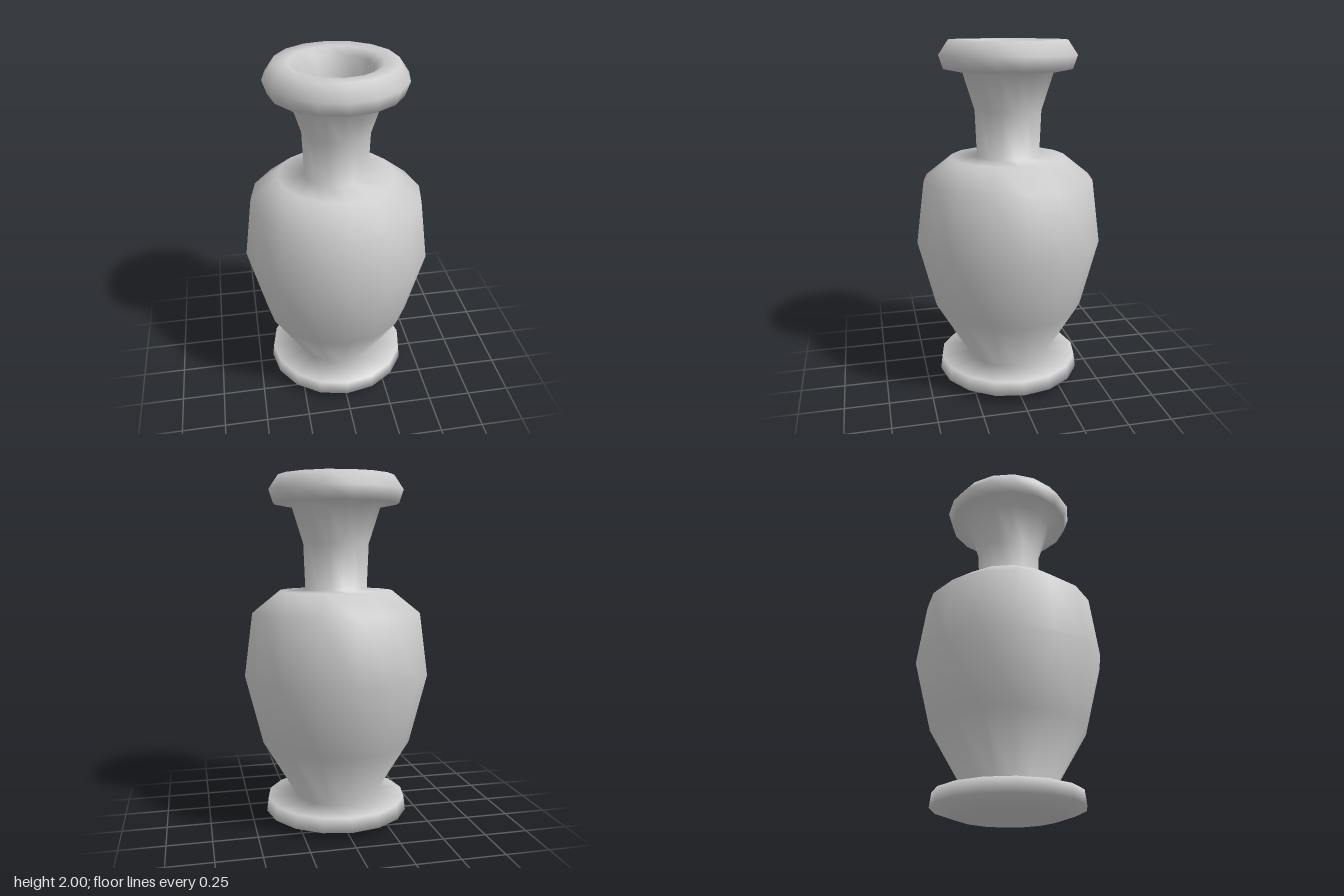
import * as THREE from 'three';

export function createModel() {
  const model = new THREE.Group();
  model.name = 'vase';

  const stone = new THREE.MeshStandardMaterial({ color: 0xcccccc });
  stone.name = 'light grey stone';

  // One continuous wall, turned in 16 smooth-shaded sides: [radius, height]
  const foot = [[0, 0], [0.29, 0.005], [0.42, 0.05], [0.41, 0.13], [0.24, 0.14]];
  const belly = [[0.435, 0.47], [0.535, 0.87], [0.487, 1.23], [0.33, 1.355]];
  const neck = [[0.18, 1.36], [0.19, 1.62], [0.255, 1.825]];
  const lip = [[0.36, 1.845], [0.385, 1.92], [0.33, 2], [0.25, 1.998], [0.2, 1.965]];
  const mouth = [[0.17, 1.8], [0.14, 1.5], [0, 1.4]];

  const profile = [...foot, ...belly, ...neck, ...lip, ...mouth]
    .map(([r, y]) => new THREE.Vector2(r, y));

  const body = new THREE.Mesh(new THREE.LatheGeometry(profile, 16), stone);
  body.name = 'vaseBody';
  model.add(body);

  return model;
}
